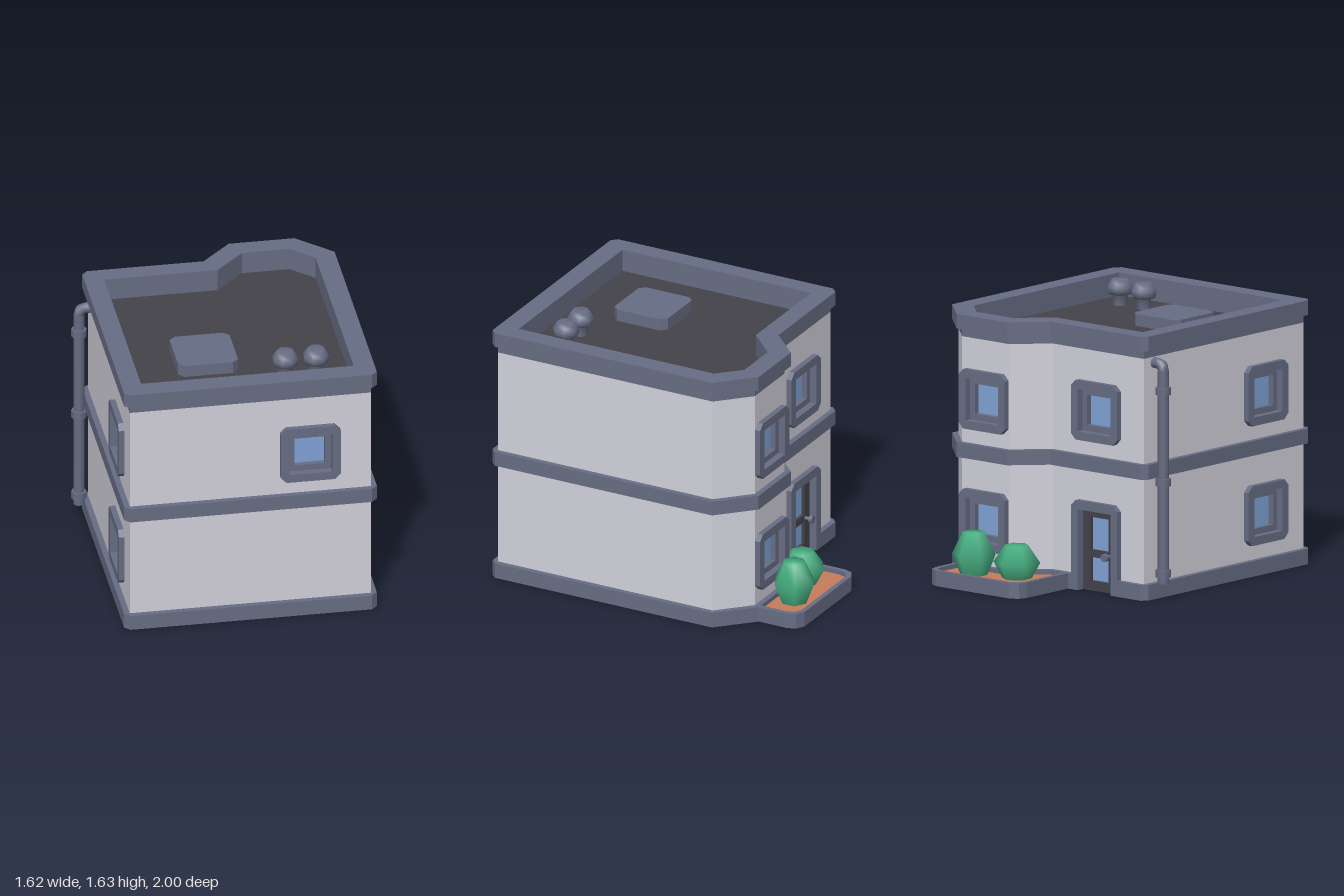
import * as THREE from 'three';

const mat = (name, color) => {
  const m = new THREE.MeshStandardMaterial({ color });
  m.name = name;
  return m;
};
const WALL = mat('pale wall', 0xd2d1db);
const TRIM = mat('slate trim', 0x666c83);
const DARK = mat('dark roof', 0x434249);
const GLASS = mat('blue glass', 0x7fa3d6);
const SOIL = mat('terracotta soil', 0xc67c5a);
const LEAF = mat('leaf green', 0x46ad80);

const mesh = (name, geometry, material, parent, x = 0, y = 0, z = 0) => {
  const m = new THREE.Mesh(geometry, material);
  m.name = name;
  m.position.set(x, y, z);
  parent.add(m);
  return m;
};

const shapeOf = (pts, holes = []) => {
  const v = (list) => list.map(([x, y]) => new THREE.Vector2(x, y));
  const s = new THREE.Shape(v(pts));
  holes.forEach((h) => s.holes.push(new THREE.Path(v(h))));
  return s;
};
const extrude = (shape, z0, z1) =>
  new THREE.ExtrudeGeometry(shape, { depth: z1 - z0, bevelEnabled: false }).translate(0, 0, z0);

// Horizontal slab from plan points [x, z]
const flip = (pts) => pts.map(([x, z]) => [x, -z]);
const slab = (pts, y0, y1, hole) =>
  extrude(shapeOf(flip(pts), hole ? [flip(hole)] : []), y0, y1).rotateX(-Math.PI / 2);
const sheet = (pts, y) =>
  new THREE.ShapeGeometry(shapeOf(flip(pts))).rotateX(-Math.PI / 2).translate(0, y, 0);

const rect = (x0, y0, x1, y1, c = 0) => c
  ? [[x0 + c, y0], [x1 - c, y0], [x1, y0 + c], [x1, y1 - c], [x1 - c, y1], [x0 + c, y1], [x0, y1 - c], [x0, y0 + c]]
  : [[x0, y0], [x1, y0], [x1, y1], [x0, y1]];

// Plans: wall line, projecting band line, parapet inner line
const wallPlan = [[-0.695, 0.965], [0.775, 0.965], [0.775, -0.505], [0.585, -0.69],
  [0.215, -0.69], [0.025, -0.505], [-0.695, -0.505]];
const bandPlan = [[-0.73, 0.965], [-0.695, 1], [0.775, 1], [0.81, 0.965], [0.81, -0.52],
  [0.6, -0.725], [0.2, -0.725], [0.015, -0.54], [-0.695, -0.54], [-0.73, -0.505]];
const innerPlan = [[-0.61, 0.87], [0.685, 0.87], [0.685, -0.465], [0.55, -0.6],
  [0.26, -0.6], [0.08, -0.42], [-0.61, -0.42]];
const DOOR_X = -0.33;
const basePlan = [...bandPlan.slice(0, 8),
  [DOOR_X + 0.13, -0.54], [DOOR_X + 0.13, -0.46], [DOOR_X - 0.13, -0.46], [DOOR_X - 0.13, -0.54],
  ...bandPlan.slice(8)];

// Openings per wall: distance along the wall and centre height
const UP = 1.1025, LOW = 0.37, HALF = 0.1825, HOLE = 0.13, PANE = 0.0925, DOOR_TOP = 0.495;
const windows = {
  0: [[1.0975, UP]],
  3: [[0.185, UP], [0.185, LOW]],
  5: [[0.355, UP]],
  6: [[1.105, UP], [1.105, LOW]],
};
const doors = { 5: 0.355 };

function addWindow(parent, x, y) {
  const g = new THREE.Group();
  g.name = 'window';
  g.position.set(x, y, 0);
  parent.add(g);
  const sq = (h, c) => rect(-h, -h, h, h, c);
  mesh('windowFrame', extrude(shapeOf(sq(HALF, 0.035), [sq(HOLE)]), -0.055, 0.035), TRIM, g);
  mesh('windowSash', extrude(shapeOf(sq(HOLE), [sq(PANE)]), -0.055, -0.01), TRIM, g);
  mesh('windowPane', new THREE.PlaneGeometry(2 * PANE, 2 * PANE), GLASS, g, 0, 0, -0.045);
}

function addDoor(parent, x) {
  const g = new THREE.Group();
  g.name = 'door';
  g.position.x = x;
  parent.add(g);
  const top = 0.55, c = 0.035;
  const frame = [[-HALF, 0], [-HOLE, 0], [-HOLE, DOOR_TOP], [HOLE, DOOR_TOP], [HOLE, 0], [HALF, 0],
    [HALF, top - c], [HALF - c, top], [c - HALF, top], [-HALF, top - c]];
  mesh('doorFrame', extrude(shapeOf(frame), -0.055, 0.035), TRIM, g);
  const panes = [[0.06, 0.205], [0.25, 0.45]];
  const holes = panes.map(([a, b]) => rect(-0.07, a, 0.07, b));
  mesh('doorLeaf', extrude(shapeOf(rect(-HOLE, 0, HOLE, DOOR_TOP), holes), -0.05, -0.015), DARK, g);
  panes.forEach(([a, b]) =>
    mesh('doorPane', new THREE.PlaneGeometry(0.14, b - a), GLASS, g, 0, (a + b) / 2, -0.035));
  const rod = (r, l) => new THREE.CylinderGeometry(r, r, l, 8).rotateX(Math.PI / 2);
  mesh('doorKnobStem', rod(0.012, 0.04), TRIM, g, 0.08, 0.225, 0);
  mesh('doorKnob', rod(0.026, 0.022), TRIM, g, 0.08, 0.225, 0.029);
}

function addWalls(root) {
  wallPlan.forEach(([x, z], i) => {
    const [x2, z2] = wallPlan[(i + 1) % wallPlan.length];
    const len = Math.hypot(x2 - x, z2 - z);
    const g = new THREE.Group();
    g.name = 'wallSide';
    g.position.set(x, 0, z);
    g.rotation.y = Math.atan2(z - z2, x2 - x);
    root.add(g);
    const outline = [[0, 0], [len, 0], [len, 1.475], [0, 1.475]];
    const d = doors[i];
    if (d) {
      outline.splice(1, 0, [d - HOLE, 0], [d - HOLE, DOOR_TOP], [d + HOLE, DOOR_TOP], [d + HOLE, 0]);
      addDoor(g, d);
    }
    const list = windows[i] || [];
    const holes = list.map(([u, v]) => rect(u - HOLE, v - HOLE, u + HOLE, v + HOLE));
    mesh('wall', new THREE.ShapeGeometry(shapeOf(outline, holes)), WALL, g);
    list.forEach(([u, v]) => addWindow(g, u, v));
  });
}

function addRoof(root) {
  mesh('parapetLower', slab(wallPlan, 1.475, 1.525, innerPlan), TRIM, root);
  mesh('parapet', slab(bandPlan, 1.525, 1.615, innerPlan), TRIM, root);
  mesh('roofFloor', sheet(wallPlan, 1.476), DARK, root);
  mesh('roofHatch', slab(rect(-0.33, 0.225, 0.035, 0.59, 0.035), 1.476, 1.55), TRIM, root);
  // Round vents
  const profile = [[0.045, 0], [0.045, 0.06], [0.07, 0.07], [0.08, 0.09], [0.08, 0.115], [0.066, 0.138], [0.05, 0.16], [0, 0.16]]
    .map(([r, y]) => new THREE.Vector2(r, y));
  [0.305, 0.492].forEach((x) =>
    mesh('roofVent', new THREE.LatheGeometry(profile, 8, Math.PI / 8), TRIM, root, x, 1.475, 0.655));
}

function addDrainpipe(root) {
  const g = new THREE.Group();
  g.name = 'drainpipe';
  g.position.set(-0.767, 0, -0.41);
  root.add(g);
  const path = new THREE.CurvePath();
  const pts = [[0, 0.095], [0, 1.415], [0.024, 1.439], [0.09, 1.439]].map(([x, y]) => new THREE.Vector3(x, y, 0));
  for (let i = 0; i < 3; i++) path.add(new THREE.LineCurve3(pts[i], pts[i + 1]));
  mesh('pipe', new THREE.TubeGeometry(path, 60, 0.034, 8), TRIM, g);
  mesh('pipeEnd', new THREE.CircleGeometry(0.034, 8).rotateX(Math.PI / 2), TRIM, g, 0, 0.096, 0);
  [0.158, 0.716, 1.274].forEach((y) =>
    mesh('pipeCollar', new THREE.CylinderGeometry(0.047, 0.047, 0.047, 8), TRIM, g, 0, y, 0));
}

function addPlanter(root) {
  const outline = (x0, x1, z, c) => [[x0, -0.51], [x1, -0.51], [x1, z + 2 * c], [x1 - 0.4 * c, z + 0.7 * c],
    [x1 - 1.7 * c, z], [x0 + 1.7 * c, z], [x0 + 0.4 * c, z + 0.7 * c], [x0, z + 2 * c]];
  const outer = outline(-0.125, 0.6, -1, 0.042);
  const inner = outline(-0.095, 0.57, -0.97, 0.036).map(([x, z]) => [x, z === -0.51 ? -0.525 : z]);
  mesh('planterBase', slab(outer, 0, 0.05), TRIM, root);
  mesh('planterRim', slab(outer, 0.05, 0.095, inner), TRIM, root);
  mesh('planterSoil', sheet(inner, 0.068), SOIL, root);
  // Six-sided shrubs
  [[0.365, -0.838, 0.133, 0.33], [0.1, -0.75, 0.143, 0.27]].forEach(([x, z, r, top]) => {
    const h = top - 0.06;
    const pts = [[0.6, 0], [1, 0.5], [0.5, 1], [0, 1]].map(([a, b]) => new THREE.Vector2(a * r, b * h));
    mesh('shrub', new THREE.LatheGeometry(pts, 6), LEAF, root, x, 0.06, z);
  });
}

export function createModel() {
  const root = new THREE.Group();
  root.name = 'building';
  mesh('baseSlab', slab(basePlan, 0, 0.095), TRIM, root);
  mesh('floorBand', slab(bandPlan, 0.74, 0.83), TRIM, root);
  addWalls(root);
  addRoof(root);
  addDrainpipe(root);
  addPlanter(root);
  return root;
}
